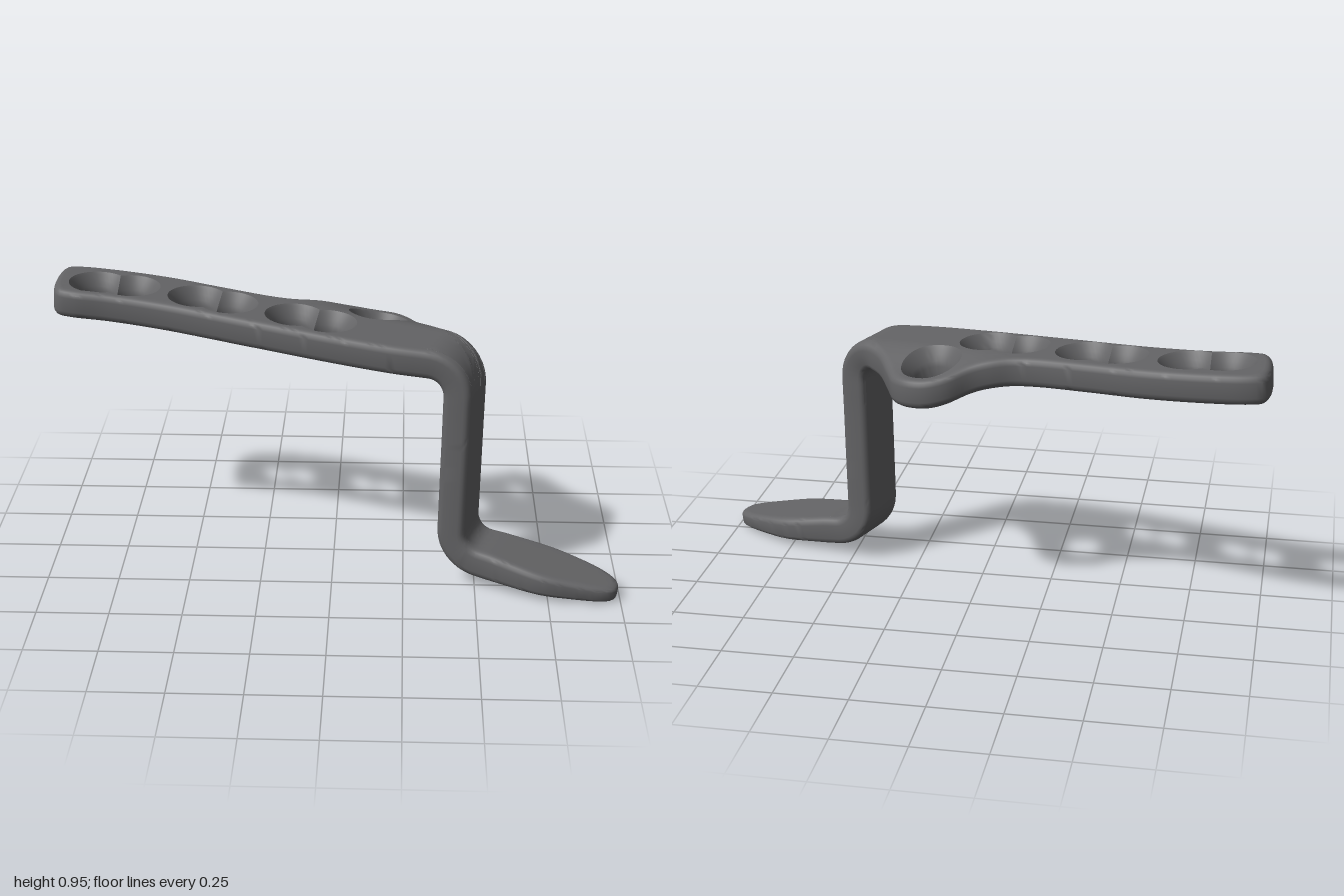
import * as THREE from 'three';
import { toCreasedNormals } from 'three/addons/utils/BufferGeometryUtils.js';

// The plate is laid out flat in (s, w): s along its axis, w across, h through the thickness.
// It is then bent along a path and turned about the upright axis.
const TURN = 18 * Math.PI / 180, C = Math.cos(TURN), S = Math.sin(TURN);
const flat = ([x, z]) => new THREE.Vector2(x * C + z * S, -x * S + z * C);
const smooth = THREE.MathUtils.smoothstep;

// Bending path: [length, total turn] for plate, bend, neck, bend, foot
const START = { s: -1.1, y: 0.908, a: -0.061 };
const SEGMENTS = [[1.474, 0], [0.168, -1.53], [0.5, 0], [0.161, 1.458], [1, 0]];

function pathAt(t) {
  let { s, y, a } = START, left = t - START.s;
  for (const [len, turn] of SEGMENTS) {
    const d = Math.min(left, len), k = turn / len, b = a + k * d;
    if (k === 0) {
      s += d * Math.cos(a);
      y += d * Math.sin(a);
    } else {
      s += (Math.sin(b) - Math.sin(a)) / k;
      y -= (Math.cos(b) - Math.cos(a)) / k;
    }
    a = b;
    left -= d;
    if (left <= 0) break;
  }
  return { s, y, a };
}

// Flat layout to final position; h runs from -1 (underside) to 1 (top)
function bend(t, w, h) {
  const p = pathAt(t);
  const half = 0.051 - 0.025 * THREE.MathUtils.clamp((t - 1.25) / 0.44, 0, 1);
  const drop = 0.055 * smooth(-w, 0.08, 0.3) * smooth(t, -0.2, 0.08);
  const along = p.s - Math.sin(p.a) * h * half;
  const y = p.y + Math.cos(p.a) * h * half - drop;
  return [along * C - w * S, y, along * S + w * C];
}

function outline() {
  const back = [[-1, -0.33], [-0.983, -0.372], [-0.93, -0.385], [-0.8, -0.375], [-0.6, -0.335],
    [-0.4, -0.27], [-0.22, -0.215], [-0.14, -0.205], [-0.07, -0.217], [0, -0.235], [0.08, -0.278],
    [0.15, -0.29], [0.22, -0.273], [0.27, -0.23], [0.31, -0.15], [0.36, -0.06], [0.42, 0]].map(flat);
  const neckAndFoot = [[0.48, -0.108], [0.6, -0.104], [0.85, -0.104], [1.1, -0.104], [1.22, -0.108],
    [1.42, -0.123], [1.53, -0.105], [1.618, -0.078], [1.67, -0.045], [1.69, 0], [1.682, 0.042],
    [1.643, 0.069], [1.55, 0.1], [1.44, 0.124], [1.22, 0.106], [1.1, 0.104], [0.85, 0.104],
    [0.6, 0.104]].map(p => new THREE.Vector2(...p));
  const front = [[0.37, 0.235], [0.2, 0.205], [0, 0.15], [-0.3, 0.053], [-0.6, -0.045],
    [-0.8, -0.09], [-0.93, -0.105], [-0.983, -0.125], [-1, -0.17]].map(flat);
  const pts = [...back, ...neckAndFoot, ...front].map(p => new THREE.Vector3(p.x, p.y, 0));
  return new THREE.CatmullRomCurve3(pts, true).getSpacedPoints(320).slice(0, -1)
    .map(p => new THREE.Vector2(p.x, p.y));
}

// Move a closed loop inwards
function inset(loop, dist) {
  const n = loop.length;
  return loop.map((p, i) => {
    const d = loop[(i + 1) % n].clone().sub(loop[(i + n - 1) % n]).normalize();
    return new THREE.Vector2(p.x - d.y * dist, p.y + d.x * dist);
  });
}

// Outline of two overlapping circles, or of one where both centres agree
function holeLoop(a, b, r) {
  const d = a.distanceTo(b) / 2, mid = a.clone().add(b).multiplyScalar(0.5);
  const axis = Math.atan2(b.y - a.y, b.x - a.x);
  return Array.from({ length: 56 }, (_, i) => {
    const q = i / 56 * Math.PI * 2;
    const len = d * Math.abs(Math.cos(q)) + Math.sqrt(r * r - (d * Math.sin(q)) ** 2);
    return new THREE.Vector2(mid.x + len * Math.cos(q + axis), mid.y + len * Math.sin(q + axis));
  });
}

function plateGeometry() {
  const positions = [];
  const tri = (a, b, c) => {
    for (const [p, h] of [a, c, b]) positions.push(...bend(p.x, p.y, h));
  };

  // Wall through a stack of loops from top to underside
  const wall = (rings, inward) => {
    for (let k = 0; k + 1 < rings.length; k++) {
      const [up, hu] = rings[k], [lo, hl] = rings[k + 1];
      for (let i = 0; i < up.length; i++) {
        const j = (i + 1) % up.length;
        const q = [[lo[i], hl], [lo[j], hl], [up[j], hu], [up[i], hu]];
        if (inward) q.reverse();
        tri(q[0], q[1], q[2]);
        tri(q[0], q[2], q[3]);
      }
    }
  };

  // Face with holes, split finely enough to bend
  const cap = (contour, holes, h) => {
    const split = (a, b, c) => {
      const e = [a.distanceTo(b), b.distanceTo(c), c.distanceTo(a)];
      const longest = Math.max(...e);
      if (longest < 0.032) {
        if (h > 0) tri([a, h], [b, h], [c, h]);
        else tri([a, h], [c, h], [b, h]);
        return;
      }
      const k = e.indexOf(longest);
      const [p, q, r] = [[a, b, c], [b, c, a], [c, a, b]][k];
      const m = p.clone().add(q).multiplyScalar(0.5);
      split(p, m, r);
      split(m, q, r);
    };
    const all = [contour, ...holes].flat();
    for (const f of THREE.ShapeUtils.triangulateShape(contour, holes)) {
      const [a, b, c] = f.map(i => all[i]);
      if (THREE.ShapeUtils.area([a, b, c]) > 0) split(a, b, c);
      else split(a, c, b);
    }
  };

  // Rounded rim
  const edge = outline(), round = 0.026, rim = [];
  for (const side of [1, -1]) {
    for (let i = 0; i <= 4; i++) {
      const q = (side > 0 ? 4 - i : i) / 4 * Math.PI / 2;
      rim.push([inset(edge, round * (1 - Math.cos(q))), side * (0.5 + 0.5 * Math.sin(q))]);
    }
  }
  wall(rim, false);

  // Three double screw holes and one round hole in the ear, all sunk from the top
  const pairs = [[[-0.85, -0.222], [-0.73, -0.208]], [[-0.49, -0.15], [-0.375, -0.11]],
    [[-0.14, -0.037], [-0.025, 0.003]], [[0.15, -0.147], [0.15, -0.147]]];
  const profile = [[0.104, 1], [0.098, 0.85], [0.086, 0.45], [0.076, 0.1], [0.07, -0.25], [0.07, -1]];
  const tops = [], bottoms = [];
  for (const pair of pairs) {
    const [a, b] = pair.map(flat);
    const rings = profile.map(([r, h]) => [holeLoop(a, b, r), h]);
    wall(rings, true);
    tops.push(rings[0][0]);
    bottoms.push(rings[rings.length - 1][0]);
  }
  cap(rim[0][0], tops, 1);
  cap(rim[rim.length - 1][0], bottoms, -1);

  const geometry = new THREE.BufferGeometry();
  geometry.setAttribute('position', new THREE.Float32BufferAttribute(positions, 3));
  return toCreasedNormals(geometry, 0.6);
}

export function createModel() {
  const group = new THREE.Group();
  group.name = 'angledBonePlate';
  const darkMetal = new THREE.MeshStandardMaterial({ color: 0x646466 });
  darkMetal.name = 'dark metal';
  const plate = new THREE.Mesh(plateGeometry(), darkMetal);
  plate.name = 'plateWithNeckAndBlade';
  group.add(plate);
  return group;
}
